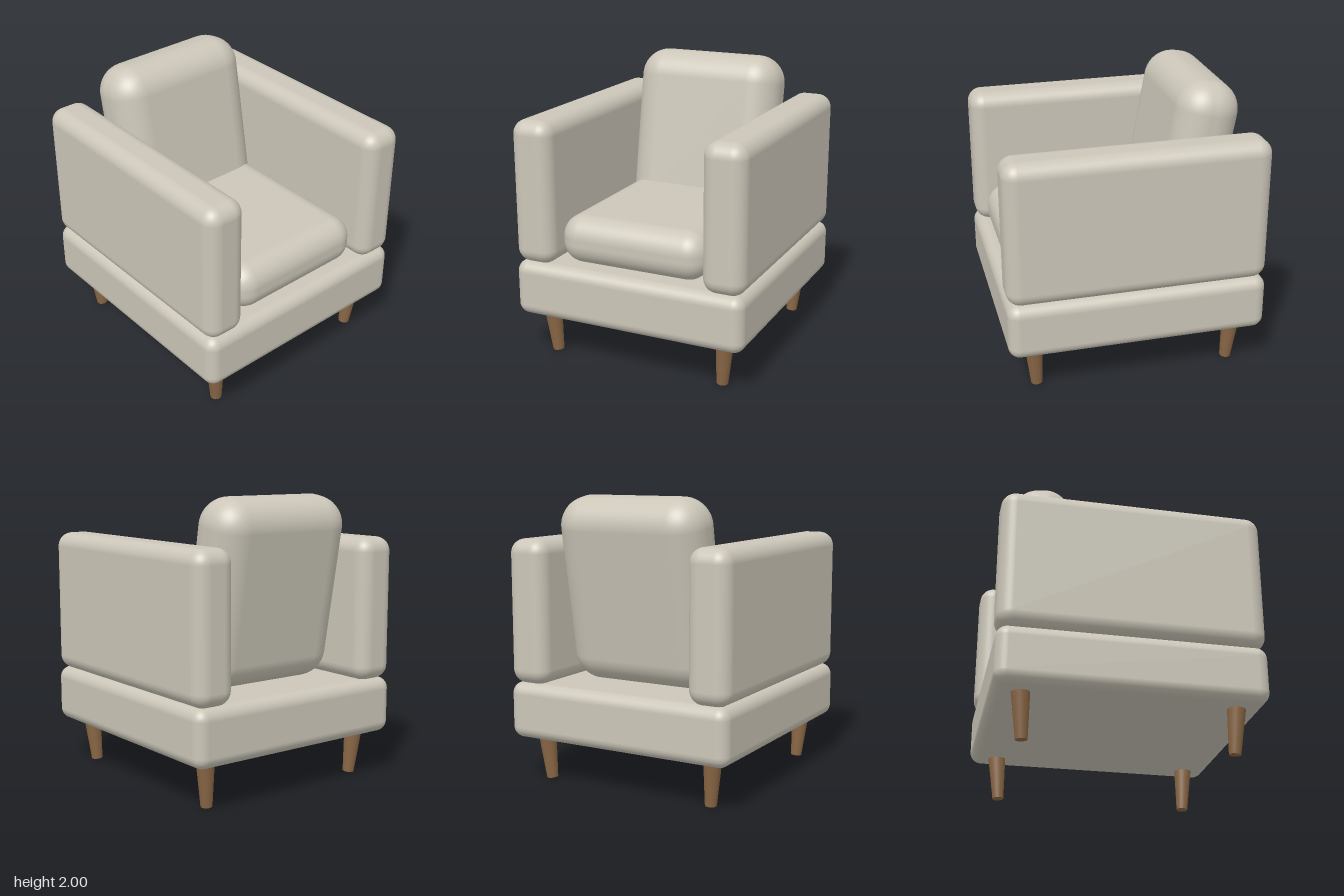
import * as THREE from 'three';
import { RoundedBoxGeometry } from 'three/addons/geometries/RoundedBoxGeometry.js';

export function createModel() {
  const fabric = new THREE.MeshStandardMaterial({ name: 'fabric', color: 0xcbc6b8 });
  const wood = new THREE.MeshStandardMaterial({ name: 'wood', color: 0x8b6846 });
  const model = new THREE.Group();
  model.name = 'armchair';

  // Upholstered block with soft edges
  function block(name, size, radius, position) {
    const mesh = new THREE.Mesh(new RoundedBoxGeometry(...size, 8, radius), fabric);
    mesh.name = name;
    mesh.position.set(...position);
    model.add(mesh);
    return mesh;
  }

  block('base', [1.7, 0.395, 1.8], 0.08, [0, 0.5075, 0]);
  block('seatCushion', [1.08, 0.34, 1.285], 0.15, [0, 0.88, 0.1925]);

  // Back cushion leans backwards
  const back = block('backCushion', [1.1, 1.297, 0.44], 0.2, [0, 1.355, -0.497]);
  back.rotation.x = -THREE.MathUtils.degToRad(10);

  // Arms
  for (const [side, s] of [['left', 1], ['right', -1]]) {
    block(side + 'Arm', [0.3, 1.005, 1.8], 0.1, [s * 0.7, 1.2, 0]);
  }

  // Tapered legs, feet tipped slightly inwards
  const legGeometry = new THREE.CylinderGeometry(0.062, 0.04, 0.31, 24);
  for (const sx of [1, -1]) {
    for (const sz of [1, -1]) {
      const leg = new THREE.Mesh(legGeometry, wood);
      leg.name = (sz > 0 ? 'front' : 'back') + (sx > 0 ? 'Left' : 'Right') + 'Leg';
      leg.position.set(sx * 0.651, 0.157, sz * 0.702);
      leg.rotation.set(sz * 0.06, 0, -sx * 0.07);
      model.add(leg);
    }
  }
  return model;
}
